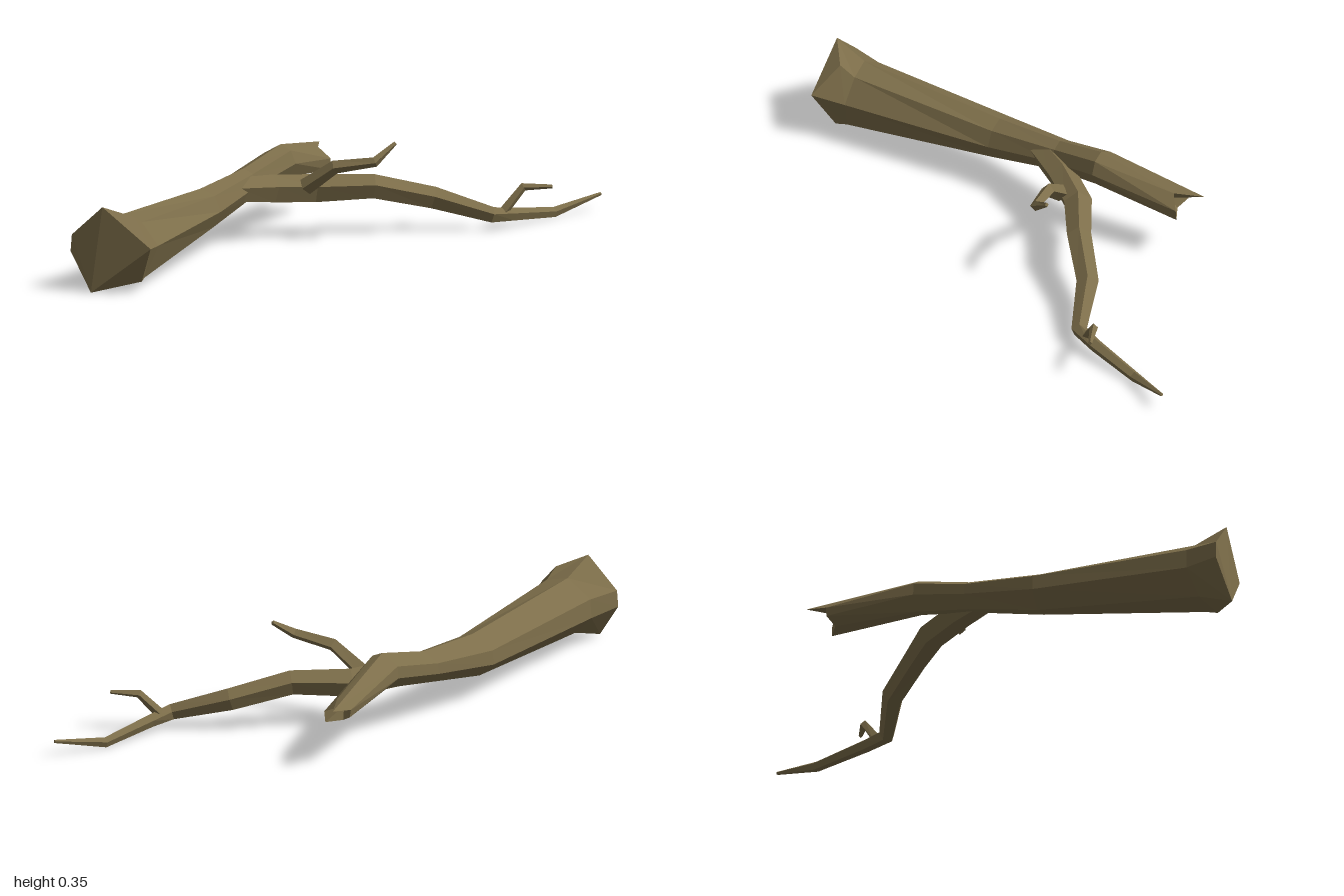
import * as THREE from 'three';

const bark = new THREE.MeshStandardMaterial({ color: 0x7d6e4a, flatShading: true });
const V = (p) => new THREE.Vector3(...p);

// Skins a row of rings; the cap triangles index into the first and last ring.
function loft(name, rings, startCap, endCap) {
  const n = rings[0].length;
  const pos = [];
  const tri = (a, b, c) => [a, b, c].forEach((p) => pos.push(p.x, p.y, p.z));
  for (let i = 0; i < rings.length - 1; i++) {
    for (let j = 0; j < n; j++) {
      const k = (j + 1) % n;
      const a = rings[i][j], b = rings[i][k], c = rings[i + 1][j], d = rings[i + 1][k];
      tri(a, c, b);
      tri(b, c, d);
    }
  }
  const first = rings[0], last = rings[rings.length - 1];
  startCap.forEach(([a, b, c]) => tri(first[a], first[b], first[c]));
  endCap.forEach(([a, b, c]) => tri(last[a], last[c], last[b]));
  const geo = new THREE.BufferGeometry();
  geo.setAttribute('position', new THREE.Float32BufferAttribute(pos, 3));
  geo.computeVertexNormals();
  const mesh = new THREE.Mesh(geo, bark);
  mesh.name = name;
  return mesh;
}

const fan = (n) => Array.from({ length: n - 2 }, (_, i) => [0, i + 1, i + 2]);

// Tapering limb through stations [x, y, z, radius].
function limb(name, sides, stations) {
  const pts = stations.map(V);
  const rings = stations.map((s, i) => {
    const before = pts[Math.max(i - 1, 0)], after = pts[Math.min(i + 1, pts.length - 1)];
    const d = after.clone().sub(before).normalize();
    const u = d.clone().cross(new THREE.Vector3(0, 1, 0)).normalize();
    const v = u.clone().cross(d);
    return Array.from({ length: sides }, (_, j) => {
      const a = (j / sides) * Math.PI * 2 + Math.PI / 2;
      return pts[i].clone().addScaledVector(u, Math.cos(a) * s[3]).addScaledVector(v, Math.sin(a) * s[3]);
    });
  });
  return loft(name, rings, fan(sides), fan(sides));
}

// Trunk cross-section: uneven seven-sided ellipse.
const angles = [0, 45, 85, 155, 195, 255, 310].map(THREE.MathUtils.degToRad);
const section = (x, y, z, rx, ry) =>
  angles.map((a) => new THREE.Vector3(x + Math.cos(a) * rx, y + Math.sin(a) * ry, z));

export function createModel() {
  const group = new THREE.Group();
  group.name = 'fallenBranch';

  // Flared, knobbly foot
  const foot = [
    [-0.245, 0.175, 0.96], [-0.34, 0.27, 0.9], [-0.43, 0.31, 0.97], [-0.55, 0.2, 0.97],
    [-0.555, 0.14, 0.97], [-0.46, 0.005, 1], [-0.31, 0.04, 0.9],
  ].map(V);
  const collar = [
    [-0.275, 0.16, 0.84], [-0.34, 0.24, 0.84], [-0.42, 0.26, 0.85], [-0.515, 0.2, 0.85],
    [-0.52, 0.13, 0.85], [-0.44, 0.05, 0.87], [-0.32, 0.045, 0.86],
  ].map(V);
  // Splintered end with one long and one short spike
  const broken = [
    [-0.285, 0.2, -0.53], [-0.32, 0.245, -0.5], [-0.365, 0.24, -0.6], [-0.39, 0.225, -0.52],
    [-0.385, 0.195, -0.52], [-0.345, 0.17, -0.5], [-0.29, 0.16, -0.53],
  ].map(V);
  const notch = broken.map(() => new THREE.Vector3(-0.33, 0.21, -0.47));

  group.add(loft('trunk', [
    foot,
    collar,
    section(-0.4, 0.165, 0.27, 0.085, 0.077),
    section(-0.367, 0.205, 0.0, 0.06, 0.058),
    section(-0.322, 0.25, -0.2, 0.065, 0.065),
    broken,
    notch,
  ], [[0, 1, 2], [5, 6, 0], [5, 0, 2], [5, 2, 3], [5, 3, 4]], []));

  group.add(limb('sideBranch', 5, [
    [-0.36, 0.2, 0.08, 0.045],
    [-0.28, 0.185, -0.06, 0.052],
    [-0.18, 0.17, -0.19, 0.052],
    [-0.005, 0.172, -0.305, 0.045],
    [0.16, 0.12, -0.445, 0.041],
    [0.35, 0.06, -0.53, 0.029],
    [0.385, 0.048, -0.62, 0.024],
    [0.445, 0.022, -0.82, 0.019],
    [0.543, 0.064, -0.995, 0.006],
  ]));

  group.add(limb('upperTwig', 4, [
    [-0.18, 0.19, -0.12, 0.03],
    [-0.07, 0.27, -0.135, 0.024],
    [0.07, 0.295, -0.17, 0.018],
    [0.112, 0.352, -0.245, 0.008],
  ]));

  group.add(limb('outerTwig', 4, [
    [0.365, 0.055, -0.57, 0.019],
    [0.42, 0.148, -0.635, 0.015],
    [0.512, 0.15, -0.678, 0.007],
  ]));

  return group;
}
